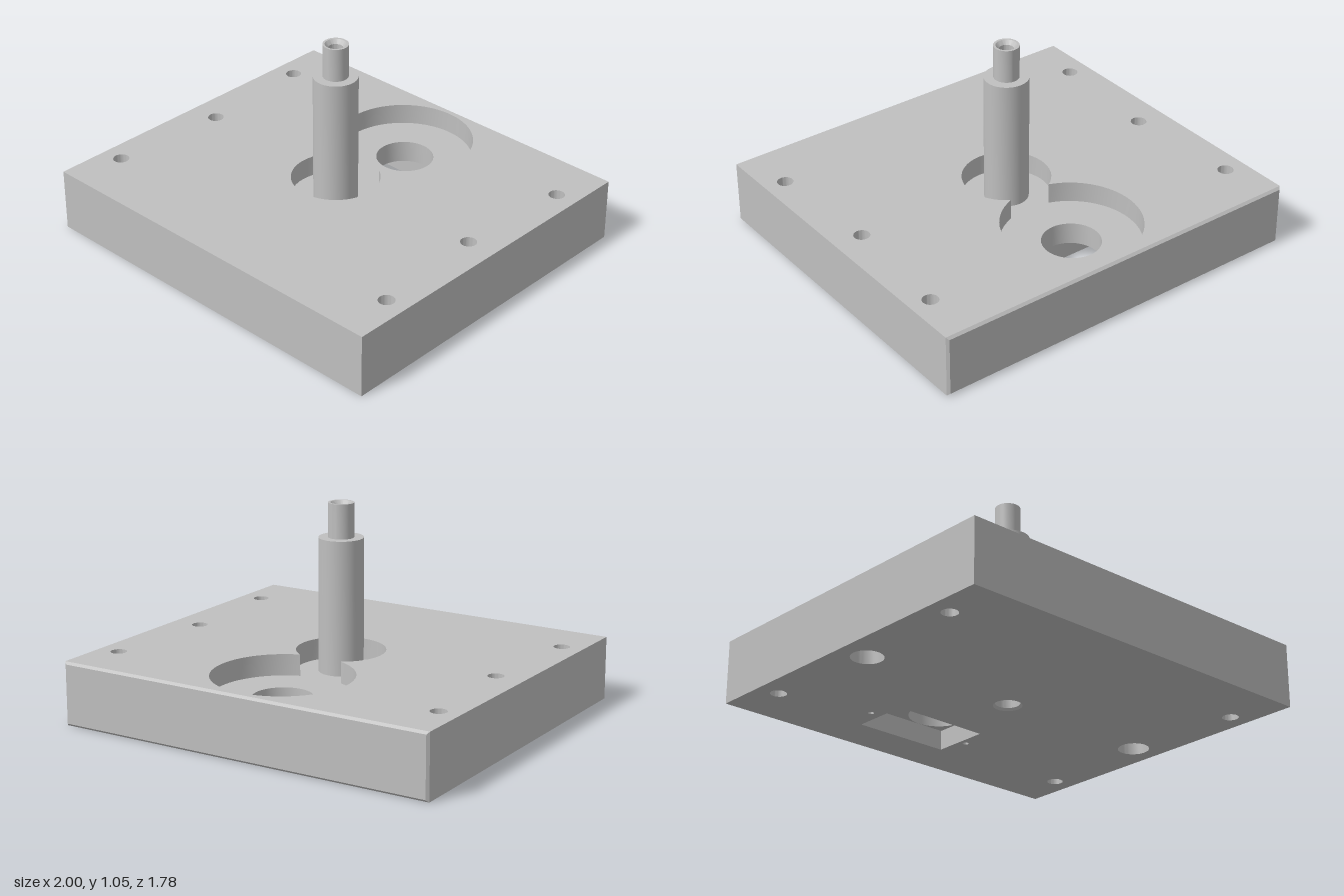
import * as THREE from 'three';
import { toCreasedNormals } from 'three/addons/utils/BufferGeometryUtils.js';

const SEG = 48;
const H = 0.32, FLOOR = 0.213, SLOT = 0.1; // plate top, pocket floor, slot ceiling
const HALF_Z = 0.89, BEVEL = 0.012;
const BIG_Z = -0.51;

const V2 = (x, y) => new THREE.Vector2(x, y);

// Outlines are plan points (x, -z), anticlockwise seen from above
function arc(cx, cz, r, from, to, n) {
  return Array.from({ length: n + 1 }, (_, i) => {
    const a = from + ((to - from) * i) / n;
    return V2(cx + r * Math.cos(a), -cz + r * Math.sin(a));
  });
}
const circle = (x, z, r) => arc(x, z, r, 0, Math.PI * 2, SEG).slice(0, -1);
const rect = (x0, x1, z0, z1) => [V2(x0, -z1), V2(x1, -z1), V2(x1, -z0), V2(x0, -z0)];

// Horizontal face with holes, looking up or down
function flatFace(outline, holes, y, up) {
  const shape = new THREE.Shape(outline);
  holes.forEach((h) => shape.holes.push(new THREE.Path(h)));
  const g = new THREE.ShapeGeometry(shape);
  g.rotateX(-Math.PI / 2).translate(0, y, 0);
  if (!up) {
    g.index.array.reverse();
    g.computeVertexNormals();
  }
  return g;
}

// Strip of quads between two rows of 3D points
function loft(a, b, closed) {
  const pos = [];
  const n = closed ? a.length : a.length - 1;
  for (let i = 0; i < n; i++) {
    const j = (i + 1) % a.length;
    [a[i], a[j], b[j], a[i], b[j], b[i]].forEach((p) => pos.push(p.x, p.y, p.z));
  }
  const g = new THREE.BufferGeometry();
  g.setAttribute('position', new THREE.Float32BufferAttribute(pos, 3));
  g.computeVertexNormals();
  return toCreasedNormals(g, 0.5);
}
function wall(points, y0, y1, closed) {
  const row = (y) => points.map((p) => new THREE.Vector3(p.x, y, -p.y));
  return loft(row(y0), row(y1), closed);
}

// Round part or hole from [radius, y] pairs; running downwards faces inwards
function turned(profile, x = 0, z = 0) {
  const g = new THREE.LatheGeometry(profile.map(([r, y]) => V2(r, y)), SEG);
  return toCreasedNormals(g, 0.5).translate(x, 0, z);
}

export function createModel() {
  const steel = new THREE.MeshStandardMaterial({ color: 0xbfbfbf });
  steel.name = 'plainSteel';
  const model = new THREE.Group();
  model.name = 'plateWithSpindle';
  const add = (name, geometry) => {
    const m = new THREE.Mesh(geometry, steel);
    m.name = name;
    model.add(m);
  };

  // Hole positions
  const corners = [];
  for (const x of [-0.89, 0.89]) for (const z of [-0.61, 0.61]) corners.push([x, z]);
  const sides = [[-0.85, 0], [0.85, 0]];
  const pins = [[0.183, BIG_Z], [-0.419, BIG_Z]];
  const at = (list, r) => list.map(([x, z]) => circle(x, z, r));

  // Keyhole pocket made of two overlapping circles
  const R = 0.343, r = 0.22, d = -BIG_Z;
  const cy = (r * r - R * R + d * d) / (2 * d);
  const cx = Math.sqrt(r * r - cy * cy);
  const a = Math.atan2(cy - d, cx), b = Math.atan2(cy, cx);
  const pocket = [
    ...arc(0, BIG_Z, R, a, Math.PI - a, 56).slice(0, -1),
    ...arc(0, 0, r, Math.PI - b, Math.PI * 2 + b, 40).slice(0, -1),
  ];
  const slot = rect(-0.36, 0.147, BIG_Z - 0.147, BIG_Z + 0.147);
  const outline = rect(-1, 1, -HALF_Z + BEVEL, HALF_Z);

  // Plate top, underside and outer sides
  add('plateTop', flatFace(outline, [pocket, ...at(corners, 0.04), ...at(sides, 0.04)], H, true));
  add('plateUnderside', flatFace(outline,
    [slot, circle(0, 0, 0.07), ...at(corners, 0.04), ...at(sides, 0.078), ...at(pins, 0.015)], 0, false));
  add('plateSides', wall([outline[3], outline[0], outline[1], outline[2]], 0, H, false));

  // Bevelled rear face
  const rear = (inset, z) => [[-1, 0], [-1, 1], [1, 1], [1, 0]].map(([x, t]) =>
    new THREE.Vector3(x * (1 - inset), t ? H - inset : inset, z));
  add('rearBevel', loft(rear(0, -HALF_Z + BEVEL), rear(BEVEL, -HALF_Z), true));
  add('rearFace', new THREE.PlaneGeometry(2 - 2 * BEVEL, H - 2 * BEVEL)
    .rotateY(Math.PI).translate(0, H / 2, -HALF_Z));

  // Pocket, and the slot below it, joined by a round opening
  add('pocketWall', wall([...pocket].reverse(), FLOOR, H, true));
  add('pocketFloor', flatFace(pocket, [circle(0, BIG_Z, 0.145), circle(0, 0, 0.11)], FLOOR, true));
  add('roundOpening', turned([[0.145, FLOOR], [0.145, SLOT]], 0, BIG_Z));
  add('slotWall', wall([...slot].reverse(), 0, SLOT, true));
  add('slotCeiling', flatFace(slot, [circle(0, BIG_Z, 0.145)], SLOT, false));

  // Bolt holes, counterbored side holes and small blind pin holes
  corners.forEach(([x, z]) => add('cornerHole', turned([[0.04, H], [0.04, 0]], x, z)));
  sides.forEach(([x, z]) => add('counterboredHole',
    turned([[0.04, H], [0.04, 0.07], [0.078, 0.07], [0.078, 0]], x, z)));
  pins.forEach(([x, z]) => add('pinHole', turned([[0, 0.06], [0.015, 0.06], [0.015, 0]], x, z)));

  // Stepped hollow spindle with its bore running out through the underside
  add('spindle', turned([
    [0.11, FLOOR], [0.11, 0.88], [0.063, 0.88], [0.063, 1.05], [0.052, 1.05],
    [0.036, 1.03], [0.036, 0.1], [0.06, 0.1], [0.06, 0.012], [0.07, 0],
  ]));

  return model;
}
